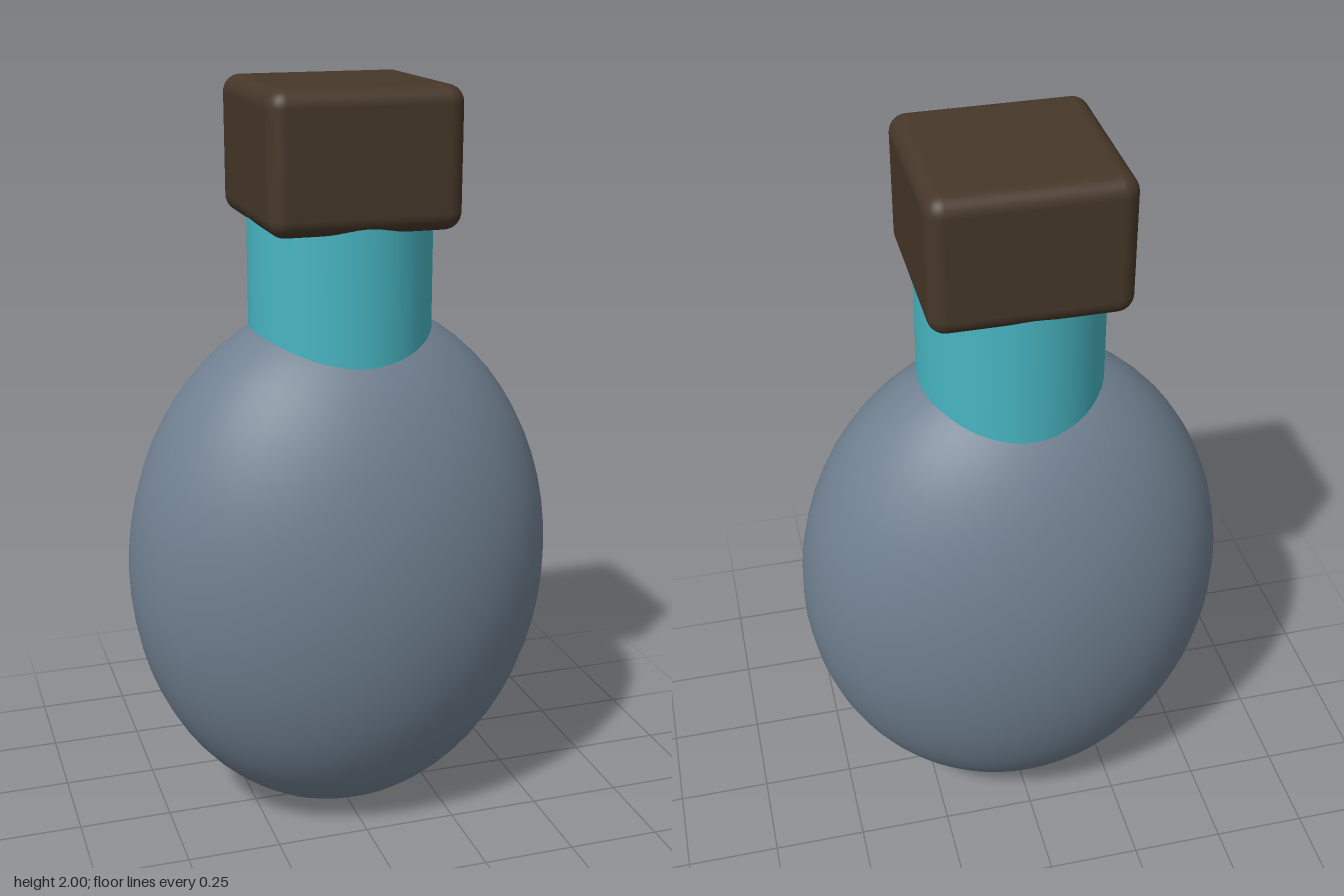
import * as THREE from 'three';
import { RoundedBoxGeometry } from 'three/addons/geometries/RoundedBoxGeometry.js';

export function createModel() {
  const model = new THREE.Group();
  model.name = 'flask';

  const add = (name, geometry, color, y) => {
    const mesh = new THREE.Mesh(geometry, new THREE.MeshStandardMaterial({ color }));
    mesh.name = name;
    mesh.position.y = y;
    model.add(mesh);
  };

  // Egg-shaped vessel, flattened front to back
  const body = new THREE.SphereGeometry(1, 48, 32).scale(0.58, 0.72, 0.42);
  add('body', body, 0x708090, 0.72);

  // Straight neck, sunk into the body and the stopper
  add('neck', new THREE.CylinderGeometry(0.24, 0.24, 0.46, 48), 0x48b5c2, 1.49);

  // Square stopper with rounded edges
  add('stopper', new RoundedBoxGeometry(0.5, 0.355, 0.5, 5, 0.045), 0x463729, 1.8225);

  return model;
}
